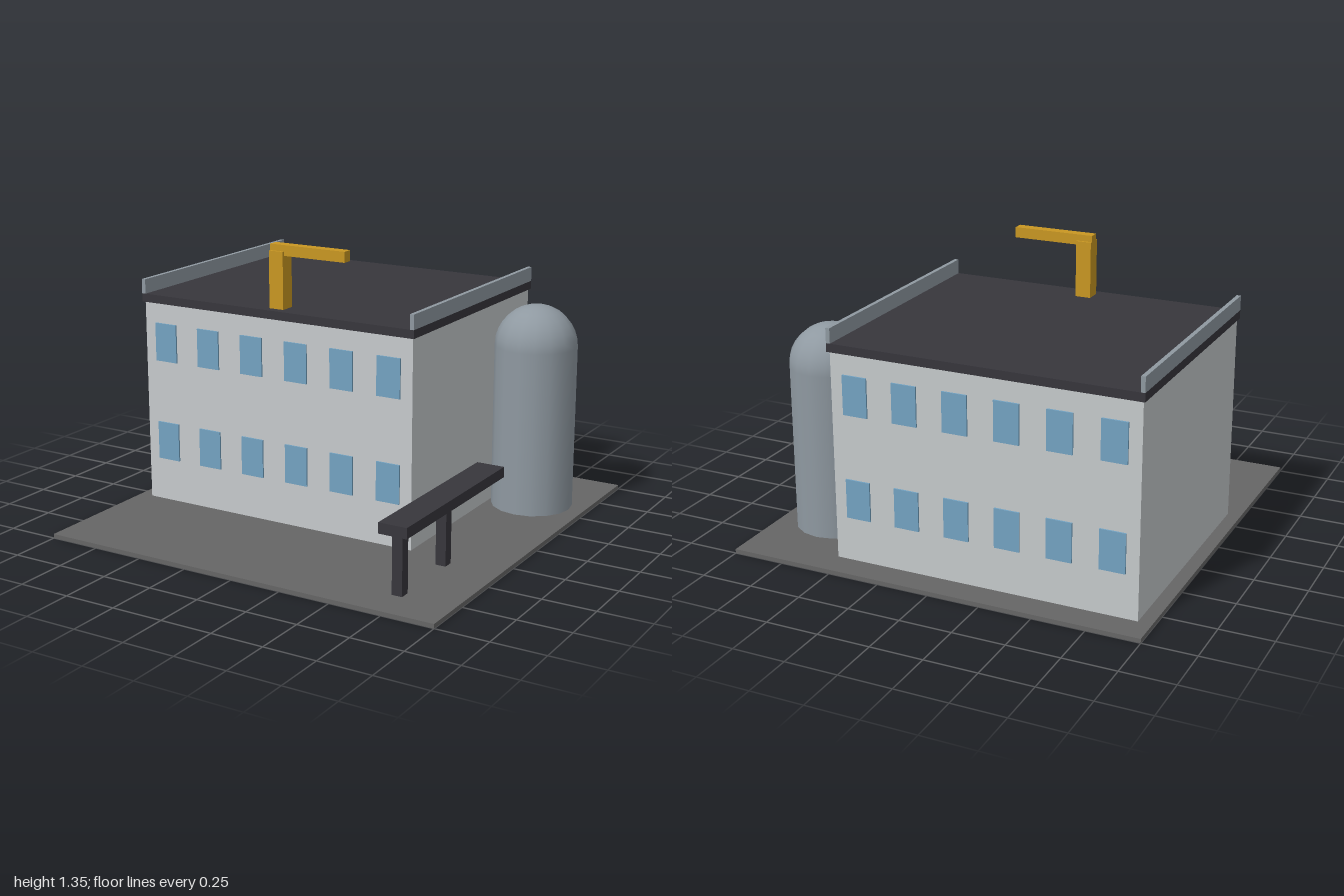
import * as THREE from 'three';

const mat = (name, color) => {
  const m = new THREE.MeshStandardMaterial({ color });
  m.name = name;
  return m;
};

export function createModel() {
  const model = new THREE.Group();
  model.name = 'factory';
  const asphalt = mat('asphalt grey', 0x666666);
  const wall = mat('wall light grey', 0xc6cacc);
  const dark = mat('dark roofing', 0x37363c);
  const steel = mat('steel grey', 0x8f99a1);
  const glass = mat('window blue', 0x74a3c2);
  const yellow = mat('crane yellow', 0xc99722);

  // Box given by its lower and upper corners
  const box = (name, material, [x0, y0, z0], [x1, y1, z1], parent = model) => {
    const mesh = new THREE.Mesh(new THREE.BoxGeometry(x1 - x0, y1 - y0, z1 - z0), material);
    mesh.position.set((x0 + x1) / 2, (y0 + y1) / 2, (z0 + z1) / 2);
    mesh.name = name;
    parent.add(mesh);
    return mesh;
  };

  box('ground', asphalt, [-1, 0, -1], [1, 0.02, 1]);

  // Main hall with roof slab and side parapets
  box('hall', wall, [-0.935, 0.02, -0.865], [0.53, 1.01, 0.335]);
  box('roof', dark, [-0.945, 1.01, -0.877], [0.54, 1.05, 0.347]);
  for (const x of [-0.945, 0.52]) {
    box('parapet', steel, [x, 1.05, -0.877], [x + 0.02, 1.12, 0.347]);
  }

  // Two rows of windows on the front and back walls
  const windows = new THREE.Group();
  windows.name = 'windows';
  model.add(windows);
  for (const z of [0.334, -0.873]) {
    for (const y of [0.23, 0.725]) {
      for (let i = 0; i < 6; i++) {
        const x = -0.875 + i * 0.245;
        box('window', glass, [x, y, z], [x + 0.12, y + 0.187, z + 0.009], windows);
      }
    }
  }

  // Storage tank: cylinder with a hemispherical dome
  const tank = new THREE.Group();
  tank.name = 'storageTank';
  tank.position.set(0.73, 0, -0.533);
  const shell = new THREE.Mesh(new THREE.CylinderGeometry(0.198, 0.198, 0.8, 16), steel);
  shell.name = 'tankShell';
  shell.position.y = 0.42;
  const dome = new THREE.Mesh(
    new THREE.SphereGeometry(0.198, 16, 8, 0, Math.PI * 2, 0, Math.PI / 2), steel);
  dome.name = 'tankDome';
  dome.position.y = 0.82;
  tank.add(shell, dome);
  model.add(tank);

  // Roof crane
  box('craneMast', yellow, [-0.24, 1.05, 0.23], [-0.165, 1.32, 0.305]);
  box('craneArm', yellow, [-0.241, 1.3, 0.242], [0.155, 1.35, 0.292]);

  // Conveyor on two posts
  box('conveyor', dark, [0.66, 0.3, -0.065], [0.797, 0.35, 0.865]);
  for (const z of [0.378, 0.775]) {
    box('conveyorPost', dark, [0.705, 0.02, z], [0.755, 0.29, z + 0.05]);
  }

  return model;
}
